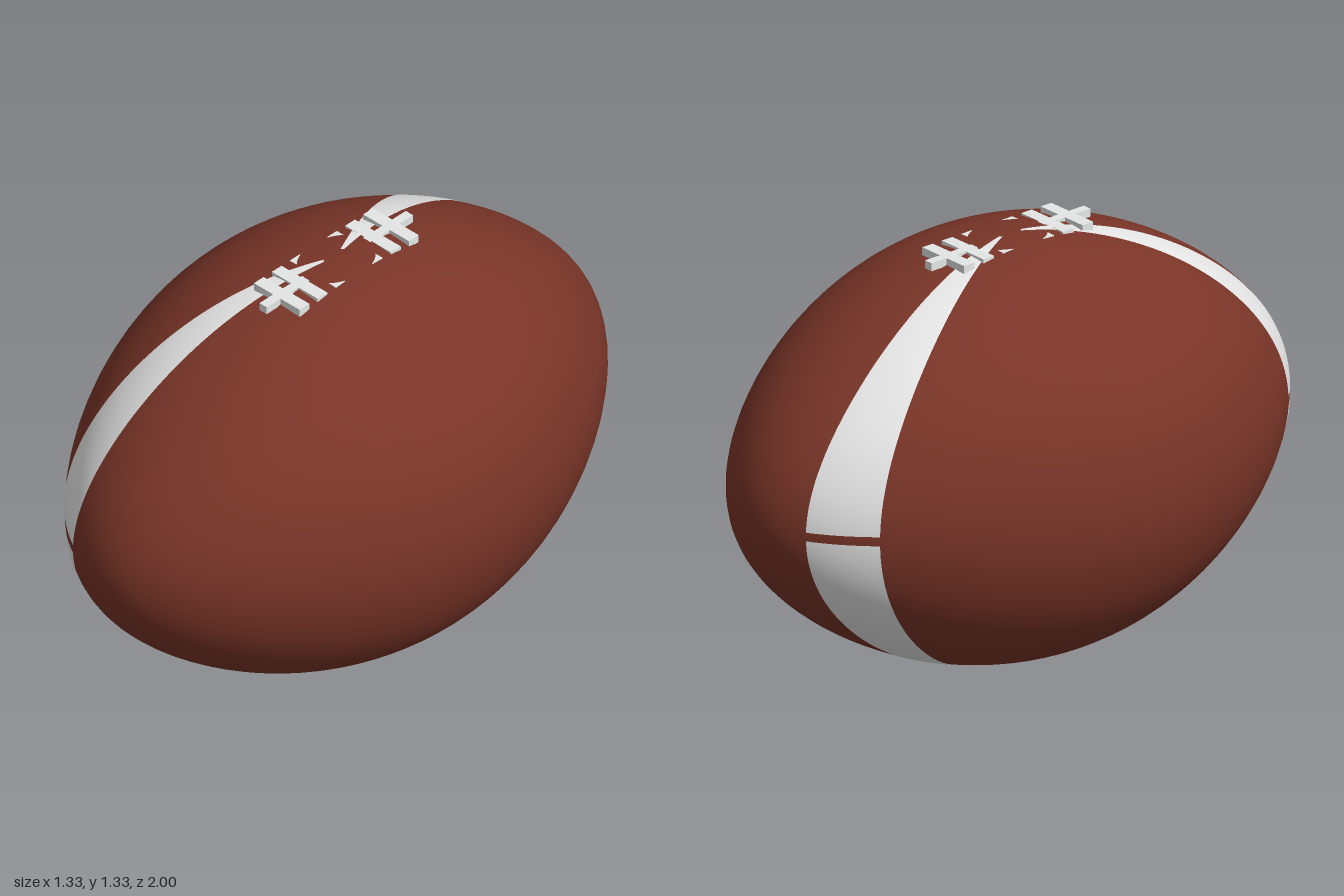
import * as THREE from 'three';

const RADIUS = 0.666; // widest radius of the ball, its half length is 1
const TAPER = 0.175;  // how much the ends are drawn in towards the tips

// Turns a unit sphere (or a patch of one) into the ball shape, lying along z.
function shapeBall(geometry, swell = 1) {
  const pos = geometry.attributes.position;
  const nor = geometry.attributes.normal;
  const n = new THREE.Vector3();
  for (let i = 0; i < pos.count; i++) {
    const z = pos.getZ(i);
    const t = 1 - TAPER * z * z;
    const x = pos.getX(i) * RADIUS * t;
    const y = pos.getY(i) * RADIUS * t;
    const nz = RADIUS * RADIUS * (z * t * t + 2 * TAPER * z * (1 - z * z) * t);
    n.set(x, y, nz).normalize();
    pos.setXYZ(i, x * swell, y * swell + RADIUS, z * swell);
    nor.setXYZ(i, n.x, n.y, n.z);
  }
  return geometry;
}

export function createModel() {
  const group = new THREE.Group();
  const leather = new THREE.MeshStandardMaterial({ name: 'brown leather', color: 0x7a3528 });
  const paint = new THREE.MeshStandardMaterial({ name: 'white stripe', color: 0xf0f0f0 });
  const cord = new THREE.MeshStandardMaterial({ name: 'pale lace', color: 0xe8ecea });

  const add = (name, geometry, material, parent = group) => {
    const mesh = new THREE.Mesh(geometry, material);
    mesh.name = name;
    parent.add(mesh);
    return mesh;
  };

  // Ball
  add('ball', shapeBall(new THREE.SphereGeometry(1, 80, 64)), leather);

  // Wedge stripes at both ends on one side, split by a gap at mid height
  const step = Math.PI / 10;
  const poleGap = 0.045;
  const midGap = 0.025;
  const span = Math.PI / 2 - poleGap - midGap;
  for (const [end, phi] of [['front', 3 * step], ['back', 16 * step]]) {
    for (const [half, theta] of [['Upper', poleGap], ['Lower', Math.PI / 2 + midGap]]) {
      const patch = new THREE.SphereGeometry(1, 8, 40, phi, step, theta, span);
      add(`${end}${half}Stripe`, shapeBall(patch, 1.002), paint);
    }
  }

  // Laces: one long cord and six cross bars, partly sunk in the top
  const laces = new THREE.Group();
  laces.name = 'laces';
  laces.position.y = 1.311;
  group.add(laces);
  add('longLace', new THREE.BoxGeometry(0.03, 0.026, 0.63), cord, laces);
  for (const side of [-1, 1]) {
    for (const z of [0.08, 0.158, 0.235]) {
      add('crossLace', new THREE.BoxGeometry(0.19, 0.026, 0.042), cord, laces).position.z = side * z;
    }
  }

  return group;
}
